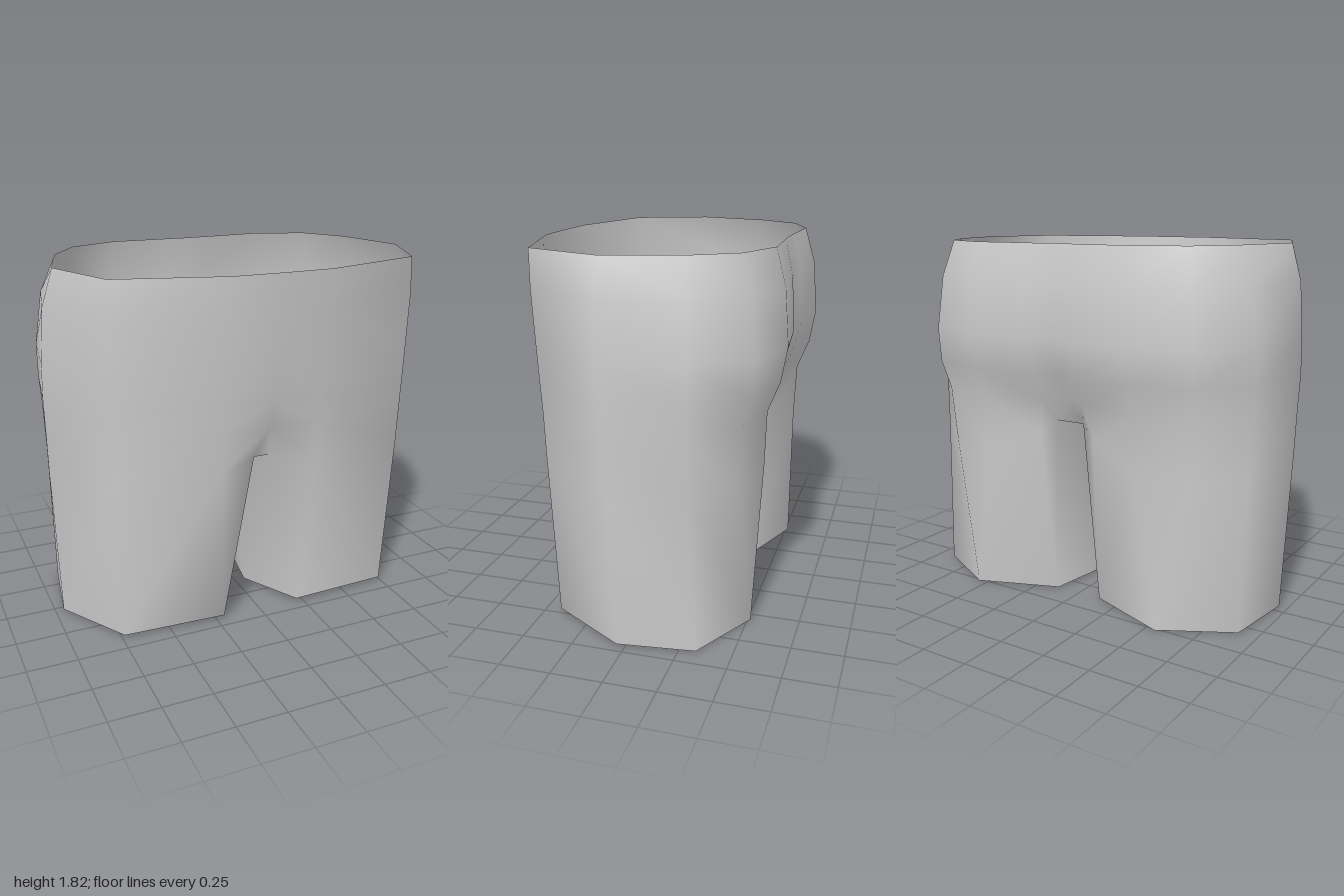
import * as THREE from 'three';
import { mergeVertices } from 'three/addons/utils/BufferGeometryUtils.js';

const fabric = new THREE.MeshStandardMaterial({ color: 0xcccccc, side: THREE.DoubleSide });
fabric.name = 'grey fabric';

// Half cross-sections as [x, z], from centre front round the +x side to centre back.
const hips = [
  { y: 1.82, p: [[0, .635], [.25, .63], [.77, .485], [.92, .11], [.82, -.26], [.68, -.47], [.43, -.57], [.12, -.556], [0, -.55]] },
  { y: 1.64, p: [[0, .615], [.25, .61], [.78, .48], [.975, .1], [.9, -.28], [.72, -.52], [.45, -.62], [.12, -.597], [0, -.585]] },
  { y: 1.37, p: [[0, .58], [.25, .58], [.78, .465], [.995, .09], [.94, -.29], [.74, -.55], [.45, -.64], [.12, -.61], [0, -.585]] },
  { y: 1.2, p: [[0, .55], [.25, .56], [.78, .455], [1, .09], [.94, -.29], [.74, -.535], [.45, -.61], [.12, -.565], [0, -.51]] },
  { y: 1.05, p: [[0, .51], [.25, .54], [.78, .445], [.995, .08], [.93, -.29], [.72, -.49], [.44, -.55], [.12, -.49], [0, -.43]] },
];
// Closed leg sections: the last point runs along the inner thigh.
const thighSection = [[.04, .42], [.25, .515], [.775, .44], [.99, .07], [.92, -.3], [.7, -.475], [.43, -.54], [.16, -.455], [.08, -.42], [.035, .12]];
const thighHeight = [.87, .85, .85, .82, .78, .76, .78, .88, .94, .83];
// Fewer corners at the hem: some neighbouring points meet.
const hemSection = [[.21, .44], [.21, .44], [.74, .415], [.96, .04], [.905, -.33], [.55, -.515], [.55, -.515], [.13, -.36], [.13, -.36], [.045, .12]];

const flip = ([x, y, z]) => [-x, y, z];

function smoothMesh(name, triangles) {
  const g = new THREE.BufferGeometry();
  // Drop triangles whose corners coincide
  const solid = triangles.filter((t) => new Set(t.map(String)).size === 3);
  g.setAttribute('position', new THREE.Float32BufferAttribute(solid.flat(2), 3));
  const merged = mergeVertices(g, 1e-4);
  merged.computeVertexNormals();
  const mesh = new THREE.Mesh(merged, fabric);
  mesh.name = name;
  return mesh;
}

export function createModel() {
  const group = new THREE.Group();
  group.name = 'shorts';
  const tris = [];
  const quad = (a, b, c, d) => tris.push([a, b, c], [a, c, d]);
  // Add a quad and its mirror image.
  const pair = (a, b, c, d) => {
    quad(a, b, c, d);
    quad(flip(a), flip(d), flip(c), flip(b));
  };

  const upper = hips.map(({ y, p }) => p.map(([x, z]) => [x, y, z]));
  const thigh = thighSection.map(([x, z], j) => [x, thighHeight[j], z]);
  // The hem tilts slightly up towards the front.
  const hem = hemSection.map(([x, z]) => [x, .02 * (z + .515), z]);

  // Hips, then the join down to the thighs
  const rows = [...upper, thigh];
  for (let i = 0; i + 1 < rows.length; i++)
    for (let j = 0; j < 8; j++)
      pair(rows[i][j], rows[i + 1][j], rows[i + 1][j + 1], rows[i][j + 1]);

  // Legs
  for (let j = 0; j < 10; j++) {
    const k = (j + 1) % 10;
    pair(thigh[j], hem[j], hem[k], thigh[k]);
  }

  // Crotch: front and back gussets and the strip between the legs
  const low = upper[upper.length - 1];
  const [front, back, inner] = [thigh[0], thigh[8], thigh[9]];
  tris.push([low[0], flip(front), front], [low[8], back, flip(back)]);
  quad(flip(back), back, inner, flip(inner));
  quad(flip(inner), inner, front, flip(front));
  group.add(smoothMesh('shortsBody', tris));

  // Flat closures across the leg ends
  const centre = [.48, .02 * .515, 0];
  const fan = hem.map((v, j) => [centre, v, hem[(j + 1) % 10]]);
  group.add(smoothMesh('leftLegClosure', fan));
  group.add(smoothMesh('rightLegClosure', fan.map((t) => t.map(flip).reverse())));
  return group;
}
